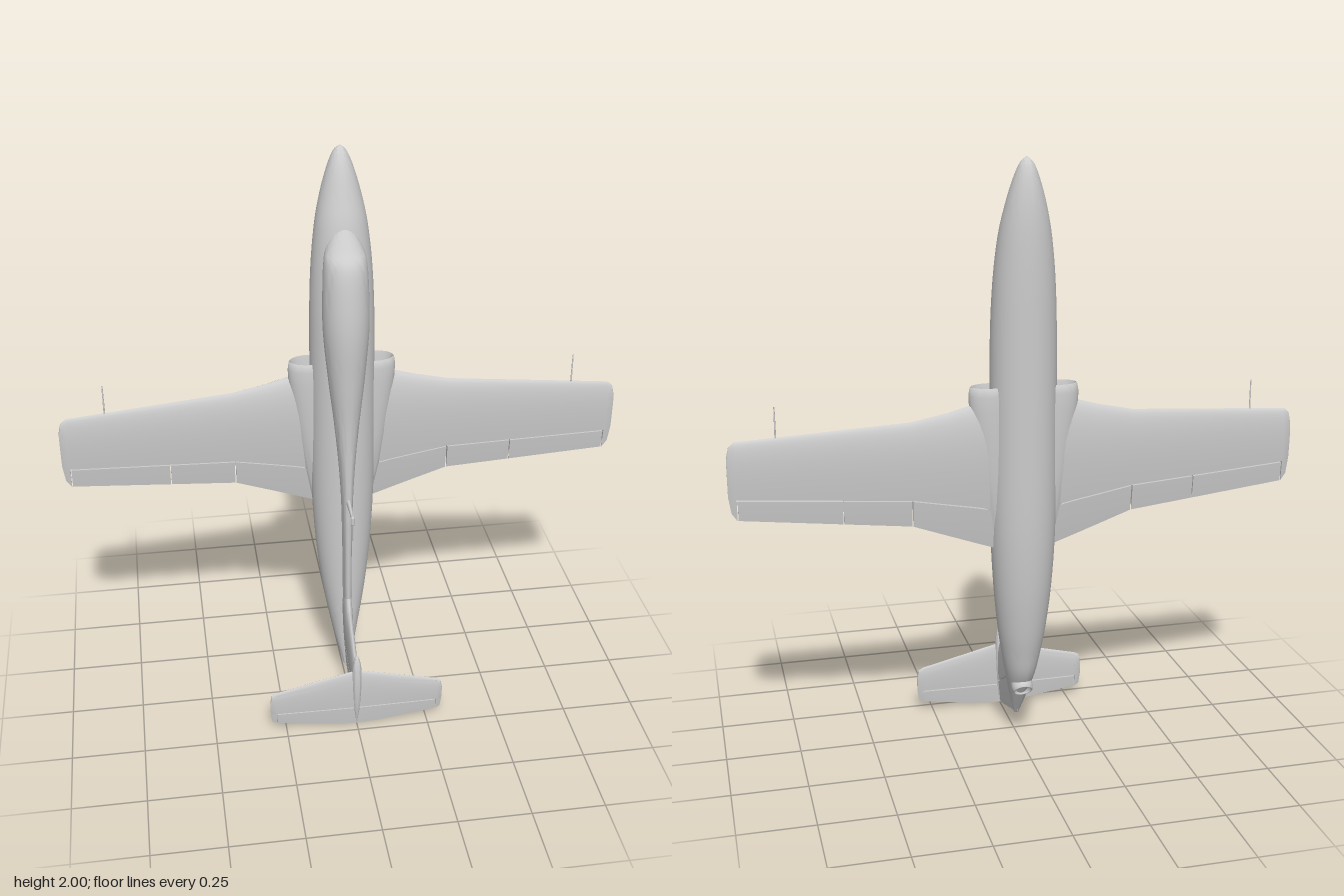
import * as THREE from 'three';
import { toCreasedNormals } from 'three/addons/utils/BufferGeometryUtils.js';

const grey = new THREE.MeshStandardMaterial({ color: 0xcccccc, side: THREE.DoubleSide });

// Skin through closed rings of equal size, capped at both ends, always facing outwards
function loft(rings, crease = 0.7) {
  const n = rings[0].length, pos = [], idx = [];
  rings.forEach(r => r.forEach(p => pos.push(p.x, p.y, p.z)));
  for (let i = 0; i < rings.length - 1; i++) {
    for (let j = 0; j < n; j++) {
      const a = i * n + j, b = i * n + (j + 1) % n;
      idx.push(a, b, a + n, b, b + n, a + n);
    }
  }
  [0, rings.length - 1].forEach((k, end) => {
    const c = new THREE.Vector3(), ci = pos.length / 3;
    rings[k].forEach(p => c.addScaledVector(p, 1 / n));
    pos.push(c.x, c.y, c.z);
    for (let j = 0; j < n; j++) {
      const a = k * n + j, b = k * n + (j + 1) % n;
      idx.push(ci, ...(end ? [a, b] : [b, a]));
    }
  });
  // signed volume tells whether the winding must be flipped
  const at = i => new THREE.Vector3().fromArray(pos, i * 3);
  let volume = 0;
  for (let i = 0; i < idx.length; i += 3) volume += at(idx[i]).dot(at(idx[i + 1]).cross(at(idx[i + 2])));
  if (volume < 0) idx.reverse();
  const g = new THREE.BufferGeometry();
  g.setAttribute('position', new THREE.Float32BufferAttribute(pos, 3));
  g.setIndex(idx);
  return toCreasedNormals(g, crease);
}

// Elliptical ring lying across the y axis
function ellipse(y, xc, zc, rx, rz, n = 40) {
  return Array.from({ length: n }, (_, i) => {
    const a = i / n * Math.PI * 2;
    return new THREE.Vector3(xc + rx * Math.cos(a), y, zc + rz * Math.sin(a));
  });
}

// Smooth body from rows of [y, top z, bottom z, half width]
function body(rows, steps = 70) {
  const edge = new THREE.CatmullRomCurve3(rows.map(r => new THREE.Vector3(r[0], r[1], r[2])), false, 'catmullrom');
  const width = new THREE.CatmullRomCurve3(rows.map(r => new THREE.Vector3(r[3], 0, 0)), false, 'catmullrom');
  return loft(Array.from({ length: steps + 1 }, (_, i) => {
    const p = edge.getPoint(i / steps), w = width.getPoint(i / steps).x;
    return ellipse(p.x, 0, (p.y + p.z) / 2, Math.max(w, 0.001), Math.max((p.y - p.z) / 2, 0.001));
  }));
}

// Aerofoil piece. Stations: [span, leading y, trailing y, hinge y, offset, thickness]
function foil(stations, from, to, part, place) {
  const sample = s => {
    let i = 0;
    while (i < stations.length - 2 && s > stations[i + 1][0]) i++;
    const [a, b] = [stations[i], stations[i + 1]], k = (s - a[0]) / (b[0] - a[0]);
    return a.map((v, j) => v + (b[j] - v) * k);
  };
  const spans = [from, ...stations.map(s => s[0]).filter(s => s > from && s < to), to];
  return loft(spans.map(s => {
    const [, le, te, cut, off, t] = sample(s), chord = le - te, hinge = (le - cut) / chord;
    const u0 = part === 'rear' ? hinge + 0.004 / chord : 0;
    const u1 = part === 'front' ? hinge : 1;
    const upper = [], lower = [], n = 14;
    for (let i = 0; i <= n; i++) {
      const u = u0 + (u1 - u0) * (1 - Math.cos(Math.PI * i / n)) / 2;
      const h = 5 * t * (0.2969 * Math.sqrt(u) - 0.126 * u - 0.3516 * u ** 2 + 0.2843 * u ** 3 - 0.1015 * u ** 4);
      upper.push(place(s, le - u * chord, off + h));
      lower.unshift(place(s, le - u * chord, off - h));
    }
    return [...upper, ...lower];
  }));
}

export function createModel() {
  const model = new THREE.Group();
  const add = (name, geometry) => {
    const m = new THREE.Mesh(geometry, grey);
    m.name = name;
    model.add(m);
    return m;
  };

  // Fuselage, nose up, with the belly sweeping up to the tail
  add('fuselage', body([
    [2.0, -0.164, -0.166, 0.001], [1.98, -0.145, -0.187, 0.022], [1.93, -0.118, -0.206, 0.043],
    [1.85, -0.09, -0.22, 0.066], [1.75, -0.06, -0.227, 0.086], [1.6, -0.038, -0.23, 0.101],
    [1.4, -0.024, -0.23, 0.108], [1.1, -0.02, -0.23, 0.109], [0.8, -0.02, -0.228, 0.108],
    [0.6, -0.02, -0.217, 0.098], [0.45, -0.02, -0.198, 0.083], [0.35, -0.02, -0.178, 0.068],
    [0.26, -0.02, -0.153, 0.051], [0.165, -0.022, -0.095, 0.03], [0.08, -0.03, -0.04, 0.008],
  ]));

  // Canopy running into the narrow dorsal spine
  add('canopyAndSpine', body([
    [1.765, -0.068, -0.11, 0.025], [1.7, -0.018, -0.12, 0.058], [1.65, 0.02, -0.12, 0.07],
    [1.55, 0.04, -0.12, 0.075], [1.42, 0.05, -0.12, 0.075], [1.25, 0.042, -0.1, 0.06],
    [1.1, 0.032, -0.08, 0.043], [0.95, 0.028, -0.07, 0.029], [0.8, 0.027, -0.06, 0.02],
    [0.6, 0.027, -0.06, 0.016], [0.4, 0.027, -0.06, 0.014], [0.28, 0.02, -0.06, 0.008],
  ]));

  const wing = [
    [0.05, 1.25, 0.715, 0.86, -0.14, 0.075], [0.17, 1.222, 0.757, 0.885, -0.14, 0.068],
    [0.25, 1.2, 0.785, 0.898, -0.139, 0.056], [0.37, 1.175, 0.827, 0.918, -0.136, 0.044],
    [0.925, 1.137, 0.88, 0.95, -0.103, 0.025], [0.942, 1.12, 0.905, 0.95, -0.102, 0.02],
    [0.95, 1.085, 0.96, 0.99, -0.102, 0.008],
  ];
  const tail = [
    [0, 0.237, 0.003, 0.078, 0.212, 0.02], [0.06, 0.223, 0.005, 0.079, 0.212, 0.02],
    [0.285, 0.169, 0.036, 0.08, 0.212, 0.015], [0.3, 0.16, 0.045, 0.08, 0.212, 0.013],
    [0.306, 0.13, 0.085, 0.1, 0.212, 0.005],
  ];

  for (const [side, k] of [['left', 1], ['right', -1]]) {
    const place = (s, y, w) => new THREE.Vector3(k * s, y, w);

    // Wing with flap, two-piece aileron and rounded tip
    add(side + 'Wing', foil(wing, 0.05, 0.924, 'front', place));
    add(side + 'Flap', foil(wing, 0.05, 0.368, 'rear', place));
    add(side + 'InnerAileron', foil(wing, 0.372, 0.59, 'rear', place));
    add(side + 'OuterAileron', foil(wing, 0.593, 0.921, 'rear', place));
    add(side + 'WingTip', foil(wing, 0.924, 0.95, 'full', place));

    // Tailplane and elevator
    add(side + 'Tailplane', foil(tail, 0, 0.284, 'front', place));
    add(side + 'Elevator', foil(tail, 0, 0.282, 'rear', place));
    add(side + 'TailplaneTip', foil(tail, 0.284, 0.306, 'full', place));

    // Air intake: hollow mouth, rounded lip, fairing fading out along the body
    add(side + 'Intake', loft([
      [1.19, 0.112, 0.05, 0.03], [1.265, 0.112, 0.058, 0.037], [1.279, 0.112, 0.062, 0.04],
      [1.275, 0.112, 0.066, 0.043], [1.25, 0.112, 0.07, 0.046], [1.2, 0.11, 0.07, 0.047],
      [1.12, 0.105, 0.066, 0.046], [1.0, 0.1, 0.054, 0.042], [0.88, 0.095, 0.038, 0.033],
      [0.75, 0.085, 0.02, 0.012],
    ].map(([y, x, rx, rz]) => ellipse(y, k * x, -0.135, rx, rz, 28)), 0.9));

    // Probe ahead of the wing
    add(side + 'Probe', new THREE.CylinderGeometry(0.002, 0.003, 0.12, 8)).position.set(k * 0.795, 1.185, -0.11);
  }

  // Fin and rudder
  const fin = [
    [-0.06, 0.5, 0.09, 0.22, 0, 0.03], [0, 0.45, 0.07, 0.21, 0, 0.03], [0.027, 0.41, 0.061, 0.194, 0, 0.03],
    [0.045, 0.37, 0.056, 0.184, 0, 0.028], [0.08, 0.34, 0.045, 0.164, 0, 0.026], [0.21, 0.235, 0.005, 0.09, 0, 0.02],
  ];
  const upright = (s, y, w) => new THREE.Vector3(w, y, s);
  add('finRoot', foil(fin, -0.05, 0, 'full', upright));
  add('fin', foil(fin, 0, 0.21, 'front', upright));
  add('rudder', foil(fin, 0.003, 0.2, 'rear', upright));

  // Bullet fairing where fin and tailplane meet
  add('tailBullet', body([
    [0.302, 0.213, 0.211, 0.001], [0.285, 0.222, 0.202, 0.009], [0.24, 0.231, 0.193, 0.016],
    [0.17, 0.233, 0.191, 0.017], [0.08, 0.226, 0.198, 0.011], [0.01, 0.214, 0.21, 0.002],
  ], 30));

  // Exhaust nozzle under the tail
  const nozzle = add('exhaustNozzle', new THREE.LatheGeometry(
    [[0.036, -0.05], [0.036, 0.005], [0.033, 0.018], [0.029, 0.018], [0.027, 0.0], [0, 0.0]]
      .map(p => new THREE.Vector2(...p)), 28));
  nozzle.position.set(0, 0.215, -0.118);
  nozzle.quaternion.setFromUnitVectors(new THREE.Vector3(0, 1, 0), new THREE.Vector3(0, -0.66, -0.75).normalize());

  // Dorsal mast carrying a thin rod
  const mast = add('mast', new THREE.CylinderGeometry(0.005, 0.014, 0.1, 12));
  mast.scale.x = 0.6;
  mast.rotation.x = Math.PI / 2 + 0.15;
  mast.position.set(0, 0.8, 0.068);
  add('mastHead', new THREE.CapsuleGeometry(0.007, 0.022, 4, 12)).position.set(0, 0.79, 0.115);
  add('mastRod', new THREE.CylinderGeometry(0.002, 0.002, 0.075, 8)).position.set(0, 0.748, 0.115);

  return model;
}
